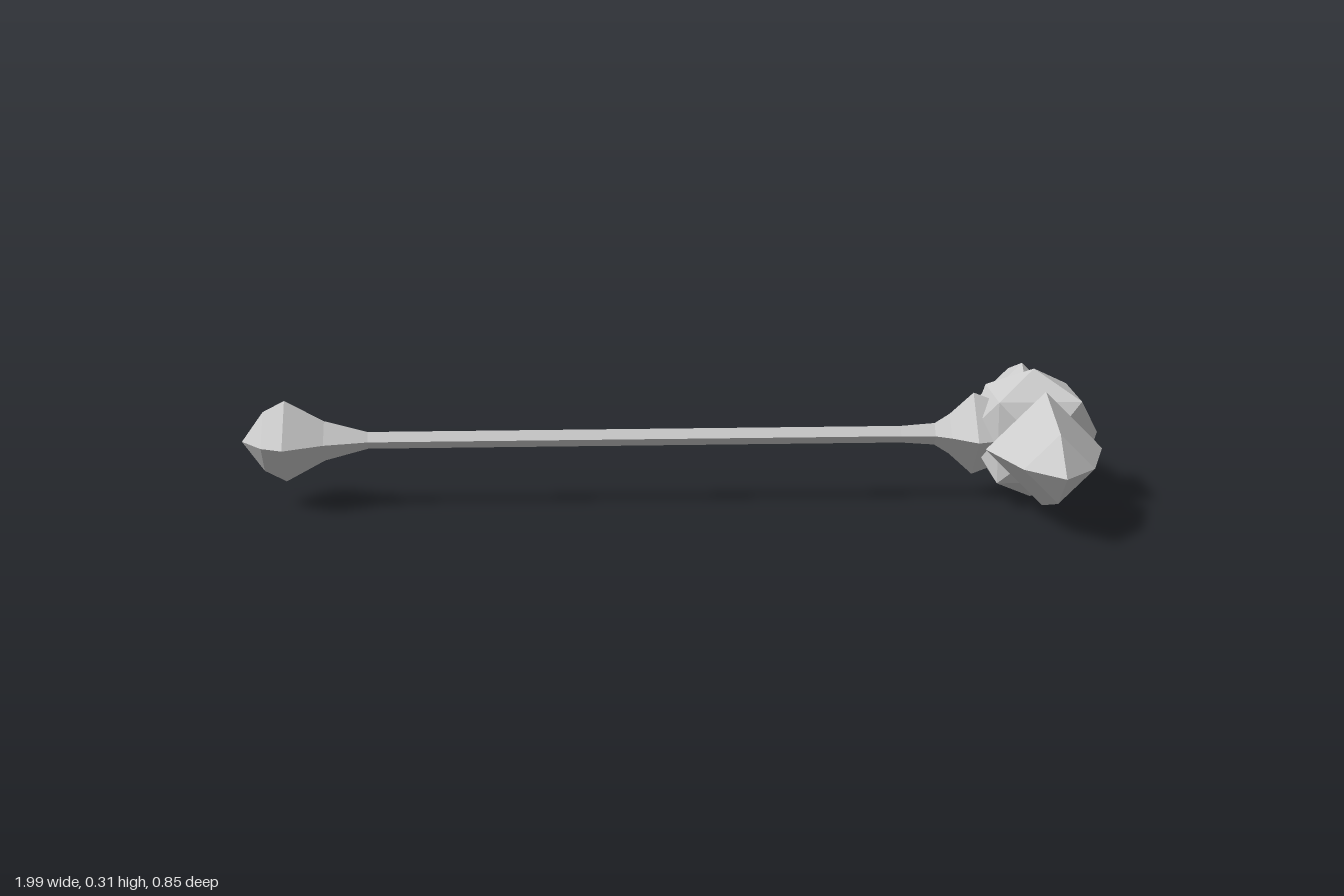
import * as THREE from 'three';

const CENTRE_Y = 0.154;
const HEAD_X = 0.84;

// Four-sided spindle along +y with its edges on the axes; points are [position, radius]
function spindle(points) {
  return new THREE.LatheGeometry(points.map(([p, r]) => new THREE.Vector2(r, p)), 4);
}

// Cube of half size h with a shallow pyramid of apex distance a on every face
function spikedCube(h, a) {
  const pos = [];
  for (let axis = 0; axis < 3; axis++) {
    for (const s of [1, -1]) {
      const at = (n, u, v) => {
        const p = [0, 0, 0];
        p[axis] = n * s;
        p[(axis + 1) % 3] = u * s;
        p[(axis + 2) % 3] = v;
        return p;
      };
      const ring = [[-h, -h], [h, -h], [h, h], [-h, h]];
      for (let i = 0; i < 4; i++) {
        const next = ring[(i + 1) % 4];
        pos.push(...at(h, ...ring[i]), ...at(h, ...next), ...at(a, 0, 0));
      }
    }
  }
  const geo = new THREE.BufferGeometry();
  geo.setAttribute('position', new THREE.Float32BufferAttribute(pos, 3));
  geo.computeVertexNormals();
  return geo;
}

export function createModel() {
  const model = new THREE.Group();
  model.name = 'hammer';
  const steel = new THREE.MeshStandardMaterial({ color: 0xcccccc });
  steel.name = 'grey steel';
  steel.flatShading = true;

  const add = (name, geometry, x) => {
    const mesh = new THREE.Mesh(geometry, steel);
    mesh.name = name;
    mesh.position.set(x, CENTRE_Y, 0);
    model.add(mesh);
  };

  // Slim shaft with a pommel at one end and a collar at the head
  const handle = spindle([
    [-1, 0], [-0.95, 0.07], [-0.9, 0.096], [-0.81, 0.047], [-0.71, 0.02],
    [0.53, 0.02], [0.61, 0.026], [0.645, 0.048], [0.7, 0.098], [0.76, 0.075], [0.8, 0],
  ]);
  handle.rotateZ(-Math.PI / 2);
  add('handle', handle, 0);

  // Central block of the head
  add('headCore', spikedCube(0.096, 0.154), HEAD_X);

  // Faceted striking heads, front and back
  for (const s of [1, -1]) {
    const head = spindle([[0.04, 0], [0.06, 0.074], [0.153, 0.134], [0.336, 0.08], [0.427, 0]]);
    head.rotateX(s * Math.PI / 2);
    add(s > 0 ? 'frontStrikingHead' : 'backStrikingHead', head, HEAD_X);
  }
  return model;
}
